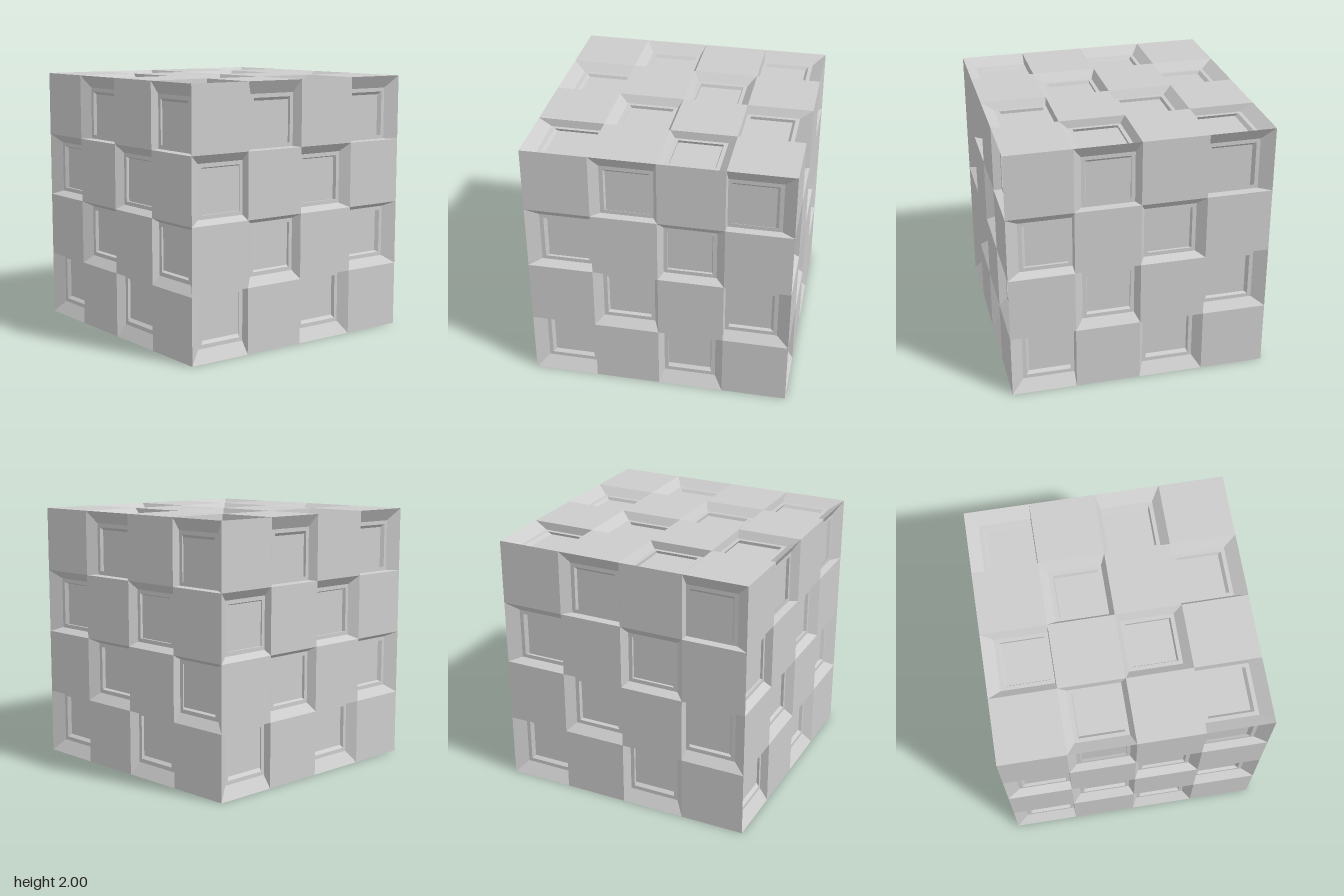
import * as THREE from 'three';

const CELL = 0.5;
const SHRINK = 0.94;      // recess floors are pulled toward the cube centre
const PANEL_SHRINK = 0.975; // sunken panels are pulled in a little further

const grey = new THREE.MeshStandardMaterial({ color: 0xcccccc });
grey.name = 'lightGrey';

// Square ring of four corners, counter-clockwise seen from +z
function ring(cx, cy, half, z, scale = 1) {
  return [[-1, -1], [1, -1], [1, 1], [-1, 1]].map(([sx, sy]) =>
    new THREE.Vector3(cx + sx * half, cy + sy * half, z).multiplyScalar(scale));
}

function pushQuad(out, a, b, c, d) {
  for (const p of [a, b, c, a, c, d]) out.push(p.x, p.y, p.z);
}

// Four quads joining an outer ring to an inner one
function pushBand(out, outer, inner) {
  for (let i = 0; i < 4; i++) {
    const j = (i + 1) % 4;
    pushQuad(out, outer[i], outer[j], inner[j], inner[i]);
  }
}

function makeMesh(name, points) {
  const geometry = new THREE.BufferGeometry();
  geometry.setAttribute('position', new THREE.Float32BufferAttribute(points, 3));
  geometry.computeVertexNormals();
  const mesh = new THREE.Mesh(geometry, grey);
  mesh.name = name;
  return mesh;
}

// One 4 x 4 checkered face, built looking along +z
function makeFace(name, parity) {
  const tiles = [], bevels = [], frames = [], panelWalls = [], panels = [];
  for (let i = 0; i < 4; i++) {
    for (let j = 0; j < 4; j++) {
      const cx = (i - 1.5) * CELL, cy = (j - 1.5) * CELL;
      const edge = ring(cx, cy, CELL / 2, 1);
      if ((i + j) % 2 !== parity) {
        pushQuad(tiles, ...edge);
        continue;
      }
      const fx = cx * SHRINK, fy = cy * SHRINK;
      const floor = ring(fx, fy, 0.2, SHRINK);
      const rim = ring(fx, fy, 0.17, SHRINK);
      const panel = ring(fx, fy, 0.17, SHRINK, PANEL_SHRINK);
      pushBand(bevels, edge, floor);
      pushBand(frames, floor, rim);
      pushBand(panelWalls, rim, panel);
      pushQuad(panels, ...panel);
    }
  }
  const face = new THREE.Group();
  face.name = name;
  face.add(
    makeMesh('raisedTiles', tiles),
    makeMesh('recessBevels', bevels),
    makeMesh('recessFrames', frames),
    makeMesh('panelWalls', panelWalls),
    makeMesh('sunkenPanels', panels),
  );
  return face;
}

export function createModel() {
  const model = new THREE.Group();
  model.name = 'checkeredCube';
  const body = new THREE.Group();
  body.name = 'cubeBody';
  body.position.y = 1;

  // Four sides turned about the vertical axis
  ['frontFace', 'leftFace', 'backFace', 'rightFace'].forEach((name, k) => {
    const face = makeFace(name, 0);
    face.rotation.y = k * Math.PI / 2;
    body.add(face);
  });

  // Top and bottom carry the opposite checker order
  const top = makeFace('topFace', 1);
  top.rotation.x = -Math.PI / 2;
  const bottom = makeFace('bottomFace', 1);
  bottom.rotation.x = Math.PI / 2;
  body.add(top, bottom);

  model.add(body);
  return model;
}
